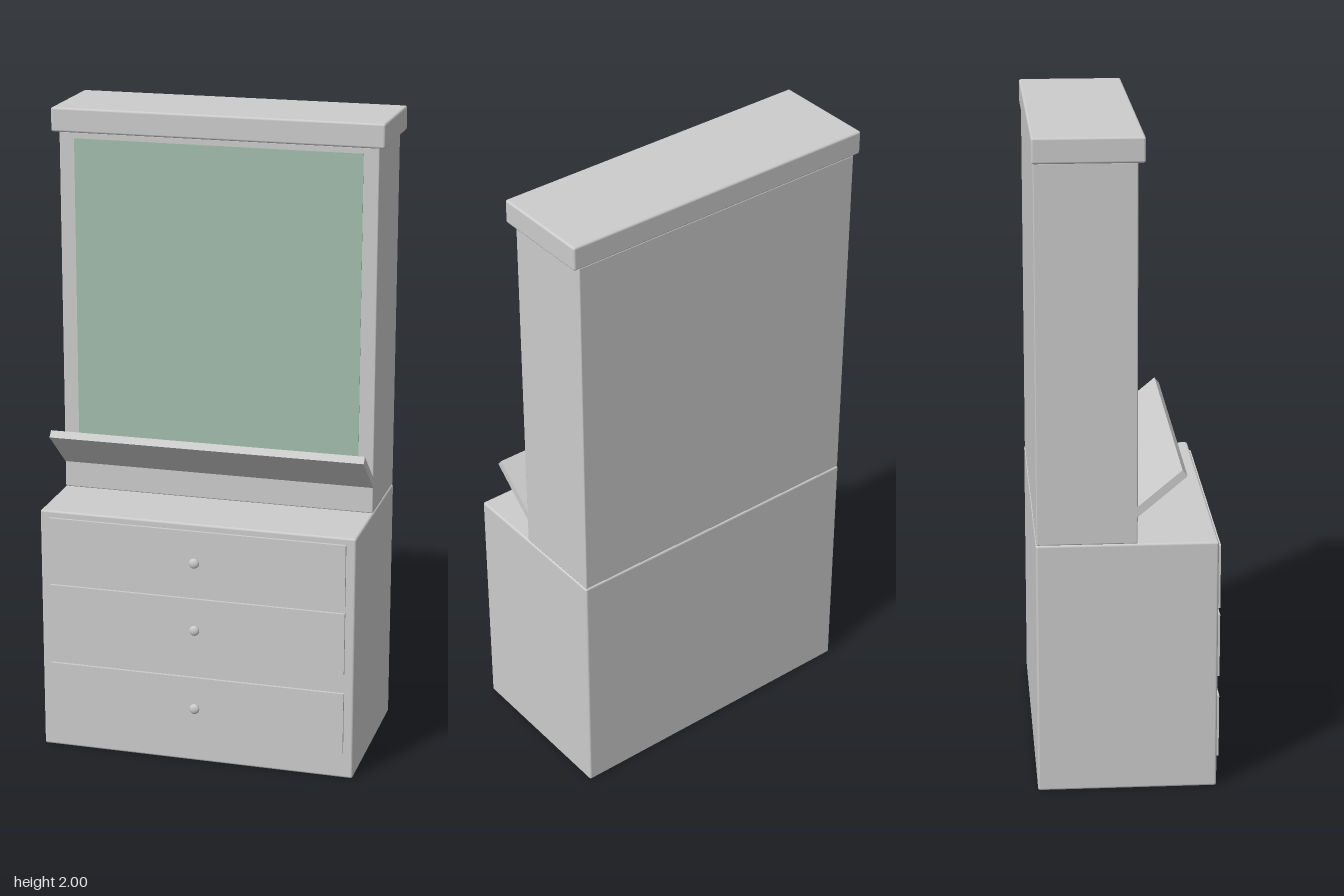
import * as THREE from 'three';
import { RoundedBoxGeometry } from 'three/addons/geometries/RoundedBoxGeometry.js';

export function createModel() {
  const model = new THREE.Group();
  model.name = 'dresserWithMirror';
  const grey = new THREE.MeshStandardMaterial({ color: 0xcccccc });
  grey.name = 'lightGrey';
  const green = new THREE.MeshStandardMaterial({ color: 0xa1bdae });
  green.name = 'mirrorGreen';

  function add(name, geometry, material = grey) {
    const mesh = new THREE.Mesh(geometry, material);
    mesh.name = name;
    model.add(mesh);
    return mesh;
  }

  // Box centred on x, given its width and its y and z ranges
  function block(name, w, y0, y1, z0, z1, radius = 0, material = grey) {
    const h = y1 - y0, d = z1 - z0;
    const geometry = radius
      ? new RoundedBoxGeometry(w, h, d, 2, radius)
      : new THREE.BoxGeometry(w, h, d);
    add(name, geometry, material).position.set(0, (y0 + y1) / 2, (z0 + z1) / 2);
  }

  // Main bodies
  block('baseCabinet', 1.0, 0, 0.785, -0.285, 0.257, 0.007);
  block('upperCabinet', 0.996, 0.785, 1.925, -0.283, 0.016, 0.004);
  block('cornice', 1.036, 1.925, 2.0, -0.288, 0.036, 0.007);
  block('mirror', 0.9, 0.89, 1.905, 0.012, 0.018, 0, green);

  // Drawer fronts with flattened round knobs
  const knob = new THREE.SphereGeometry(0.016, 20, 14).scale(1, 1, 0.55);
  for (const [y0, y1] of [[0.085, 0.283], [0.346, 0.544], [0.566, 0.764]]) {
    block('drawerFront', 0.94, y0, y1, 0.25, 0.266);
    add('drawerKnob', knob).position.set(0, (y0 + y1) / 2, 0.277);
  }

  // Tilted shelf below the mirror, drawn in profile and extruded across
  const profile = new THREE.Shape([
    [0.01, 0.863], [0.162, 0.991], [0.147, 1.01], [0.01, 0.895],
  ].map(([z, y]) => new THREE.Vector2(-z, y)));
  const shelf = new THREE.ExtrudeGeometry(profile, { depth: 0.996, bevelEnabled: false });
  shelf.translate(0, 0, -0.498).rotateY(Math.PI / 2);
  add('tiltedShelf', shelf);

  return model;
}
